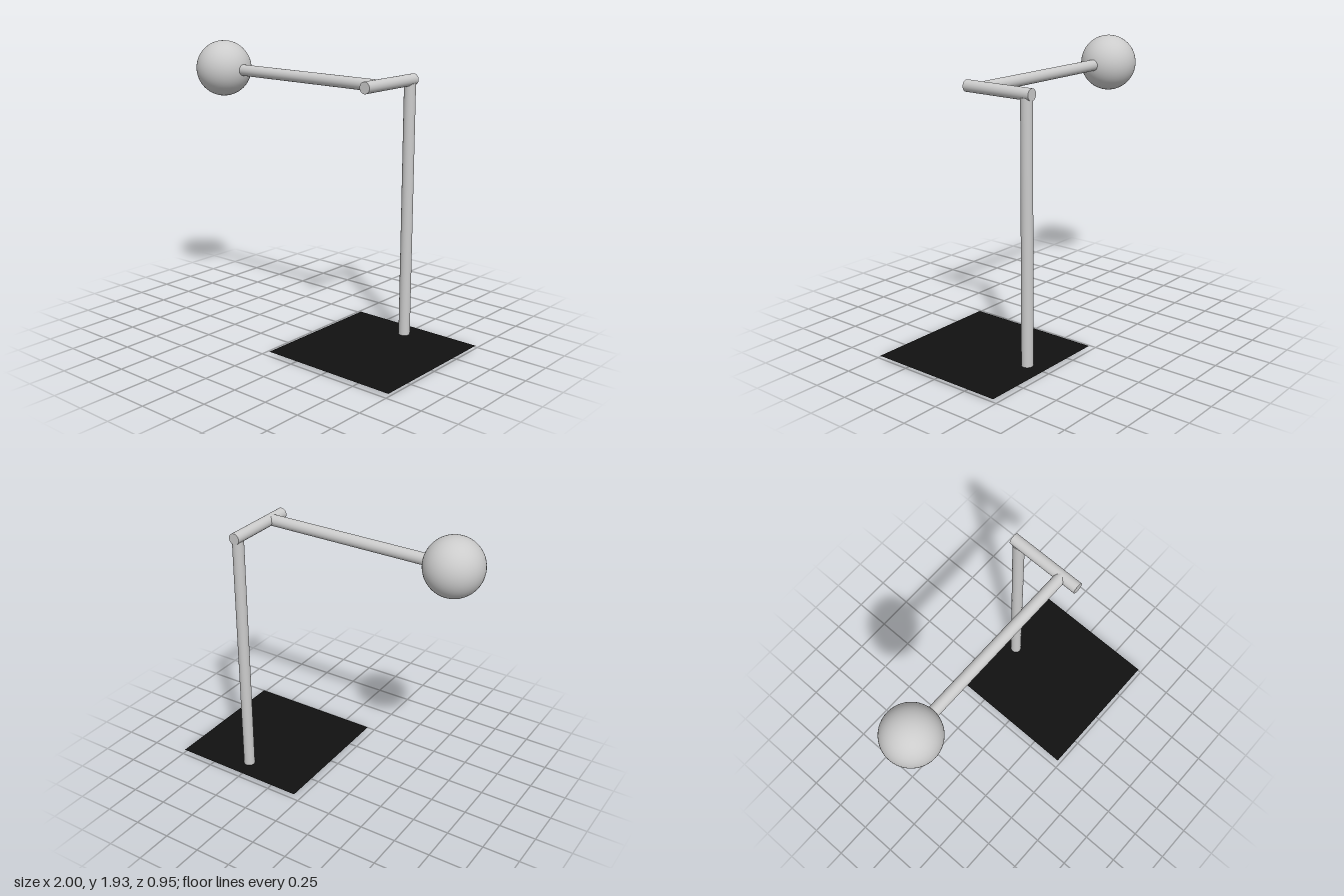
import * as THREE from 'three';

export function createModel() {
  const group = new THREE.Group();
  const grey = new THREE.MeshStandardMaterial({ color: 0xcccccc });
  const black = new THREE.MeshStandardMaterial({ color: 0x111111, side: THREE.DoubleSide });
  const R = 0.038, H = 1.74, X = 0.52;

  const add = (name, geometry, material, x, y, z) => {
    const mesh = new THREE.Mesh(geometry, material);
    mesh.name = name;
    mesh.position.set(x, y, z);
    group.add(mesh);
    return mesh;
  };
  const rod = (length) => new THREE.CylinderGeometry(R, R, length, 32);

  // Thin square ground plate, just above the foot of the post
  add('basePlate', new THREE.PlaneGeometry(0.955, 0.955).rotateX(-Math.PI / 2), black, 0.5225, 0.02, 0);

  // Upright post near the back of the plate
  add('post', rod(1.72), grey, X, 0.86, -0.345);

  // Short bar running front to back on top of the post
  add('crossBar', rod(0.51).rotateX(Math.PI / 2), grey, X, H, -0.13);

  // Long arm from the bar to the ball
  add('arm', rod(1.2).rotateZ(Math.PI / 2), grey, X - 0.6, H, 0);

  // Ball at the end of the arm
  add('ball', new THREE.SphereGeometry(0.19, 48, 32), grey, -0.81, H, 0);

  return group;
}
